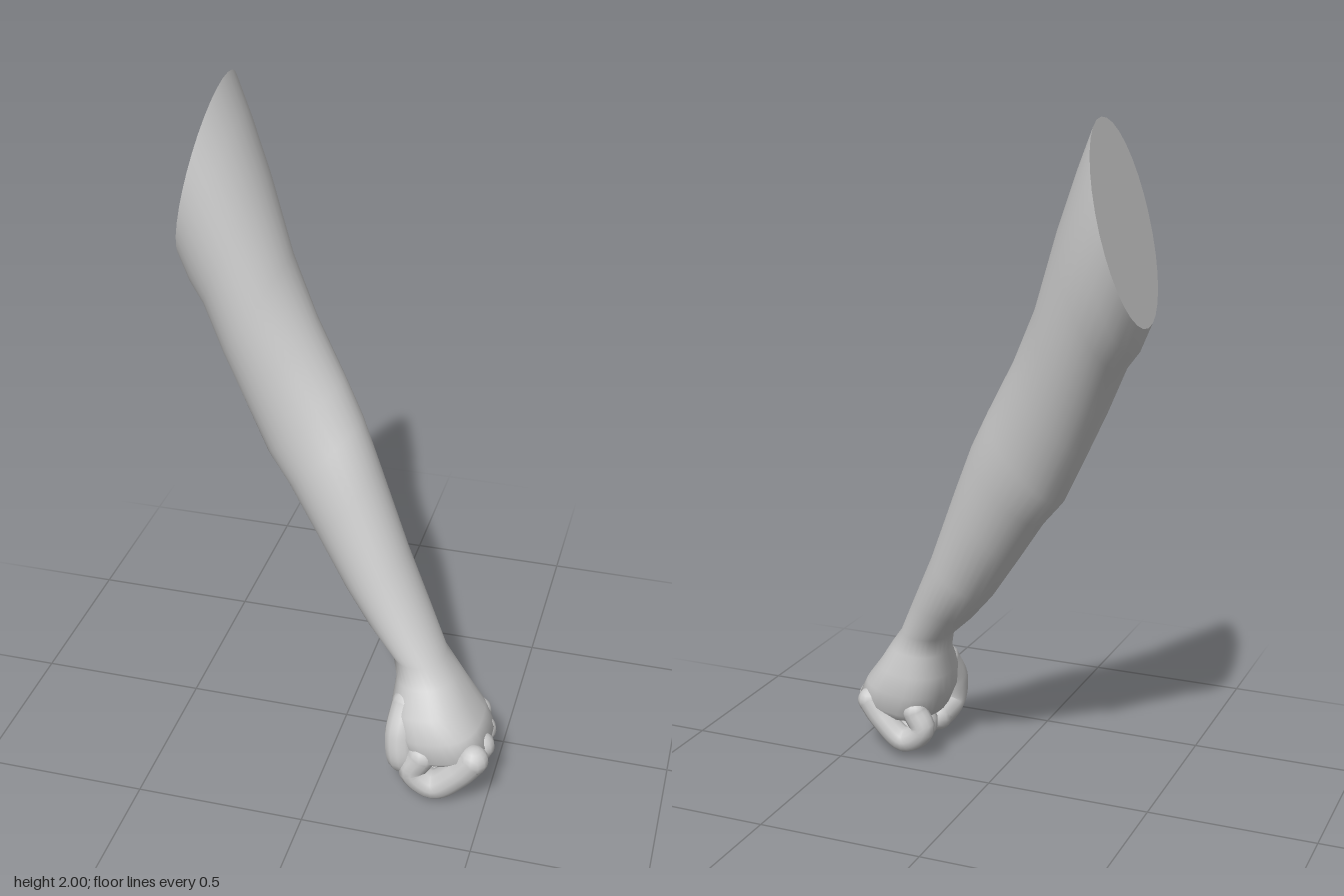
import * as THREE from 'three';

// Each section: left edge x,y, right edge x,y, front z, back z, squareness
const SECTIONS = [
  [-0.515, 1.46, -0.375, 2.00, 0.05, -0.355, 1],
  [-0.48, 1.38, -0.33, 1.89, 0.055, -0.34, 1],
  [-0.44, 1.33, -0.265, 1.72, 0.06, -0.305, 1],
  [-0.38, 1.20, -0.19, 1.50, 0.07, -0.255, 1],
  [-0.32, 1.08, -0.11, 1.33, 0.075, -0.205, 1],
  [-0.24, 0.92, -0.02, 1.17, 0.09, -0.165, 1],
  [-0.17, 0.84, 0.04, 1.06, 0.12, -0.14, 1],
  [-0.08, 0.71, 0.10, 0.93, 0.15, -0.10, 1],
  [0.02, 0.57, 0.20, 0.69, 0.185, -0.05, 1],
  [0.10, 0.48, 0.28, 0.53, 0.215, 0.0, 1],
  [0.185, 0.40, 0.34, 0.41, 0.235, 0.05, 0.95],
  [0.20, 0.34, 0.38, 0.355, 0.26, 0.05, 0.9],
  [0.195, 0.27, 0.42, 0.295, 0.315, 0.035, 0.85],
  [0.205, 0.20, 0.465, 0.235, 0.338, 0.033, 0.8],
  [0.235, 0.13, 0.495, 0.18, 0.34, 0.045, 0.8],
  [0.28, 0.11, 0.46, 0.14, 0.31, 0.07, 0.8],
];
const SIDES = 32;

const material = new THREE.MeshStandardMaterial({ color: 0xcccccc, roughness: 0.9 });

function mesh(name, geometry) {
  const m = new THREE.Mesh(geometry, material);
  m.name = name;
  return m;
}

// Point on a section's rounded outline
function outline([lx, ly, rx, ry, zf, zb, p], j) {
  const t = (j / SIDES) * Math.PI * 2;
  const power = (v) => Math.sign(v) * Math.abs(v) ** p;
  const c = power(Math.cos(t)), s = power(Math.sin(t));
  return [
    (lx + rx) / 2 + ((rx - lx) / 2) * c,
    (ly + ry) / 2 + ((ry - ly) / 2) * c,
    (zf + zb) / 2 + ((zf - zb) / 2) * s,
  ];
}

function build(positions, index) {
  const g = new THREE.BufferGeometry();
  g.setAttribute('position', new THREE.Float32BufferAttribute(positions, 3));
  g.setIndex(index);
  g.computeVertexNormals();
  return g;
}

// Skin stretched over all sections
function loft(sections) {
  const pos = [], index = [];
  sections.forEach((s, i) => {
    for (let j = 0; j < SIDES; j++) {
      pos.push(...outline(s, j));
      if (i === sections.length - 1) continue;
      const a = i * SIDES + j, b = i * SIDES + ((j + 1) % SIDES);
      index.push(a, b, a + SIDES, b, b + SIDES, a + SIDES);
    }
  });
  return build(pos, index);
}

// Flat end over one section
function cap(section, upper) {
  const [lx, ly, rx, ry, zf, zb] = section;
  const pos = [(lx + rx) / 2, (ly + ry) / 2, (zf + zb) / 2], index = [];
  for (let j = 0; j < SIDES; j++) {
    pos.push(...outline(section, j));
    const a = j + 1, b = ((j + 1) % SIDES) + 1;
    if (upper) index.push(0, b, a);
    else index.push(0, a, b);
  }
  return build(pos, index);
}

// Curled digit with rounded ends
function digit(name, points, radius) {
  const group = new THREE.Group();
  group.name = name;
  const path = points.map((p) => new THREE.Vector3(...p));
  const curve = new THREE.CatmullRomCurve3(path, false, 'centripetal');
  group.add(mesh(name + 'Bend', new THREE.TubeGeometry(curve, 24, radius, 12)));
  for (const [end, p] of [['Base', path[0]], ['Tip', path[path.length - 1]]]) {
    const ball = mesh(name + end, new THREE.SphereGeometry(radius, 12, 10));
    ball.position.copy(p);
    group.add(ball);
  }
  return group;
}

export function createModel() {
  const model = new THREE.Group();
  model.name = 'arm';

  // Upper arm, elbow, forearm and palm in one skin
  model.add(mesh('armSkin', loft(SECTIONS)));
  model.add(mesh('shoulderCut', cap(SECTIONS[0], true)));
  model.add(mesh('palmEnd', cap(SECTIONS[SECTIONS.length - 1], false)));

  // Fingers: name, z, shift in x, lift in y, radius
  const fingers = [
    ['indexFinger', 0.305, 0, 0.008, 0.045],
    ['middleFinger', 0.225, 0.003, 0, 0.045],
    ['ringFinger', 0.148, -0.005, 0, 0.043],
    ['littleFinger', 0.078, -0.03, 0.012, 0.039],
  ];
  for (const [name, z, dx, dy, r] of fingers) {
    const bend = [[0.462, 0.16], [0.42, 0.105], [0.345, 0.046], [0.285, 0.09], [0.31, 0.145]];
    model.add(digit(name, bend.map(([x, y]) => [x + dx, y + dy, z]), r));
  }

  // Thumb folded across the curled fingers
  model.add(digit('thumb', [
    [0.25, 0.28, 0.24], [0.241, 0.2, 0.285], [0.25, 0.122, 0.288], [0.262, 0.095, 0.21],
  ], 0.047));

  return model;
}
